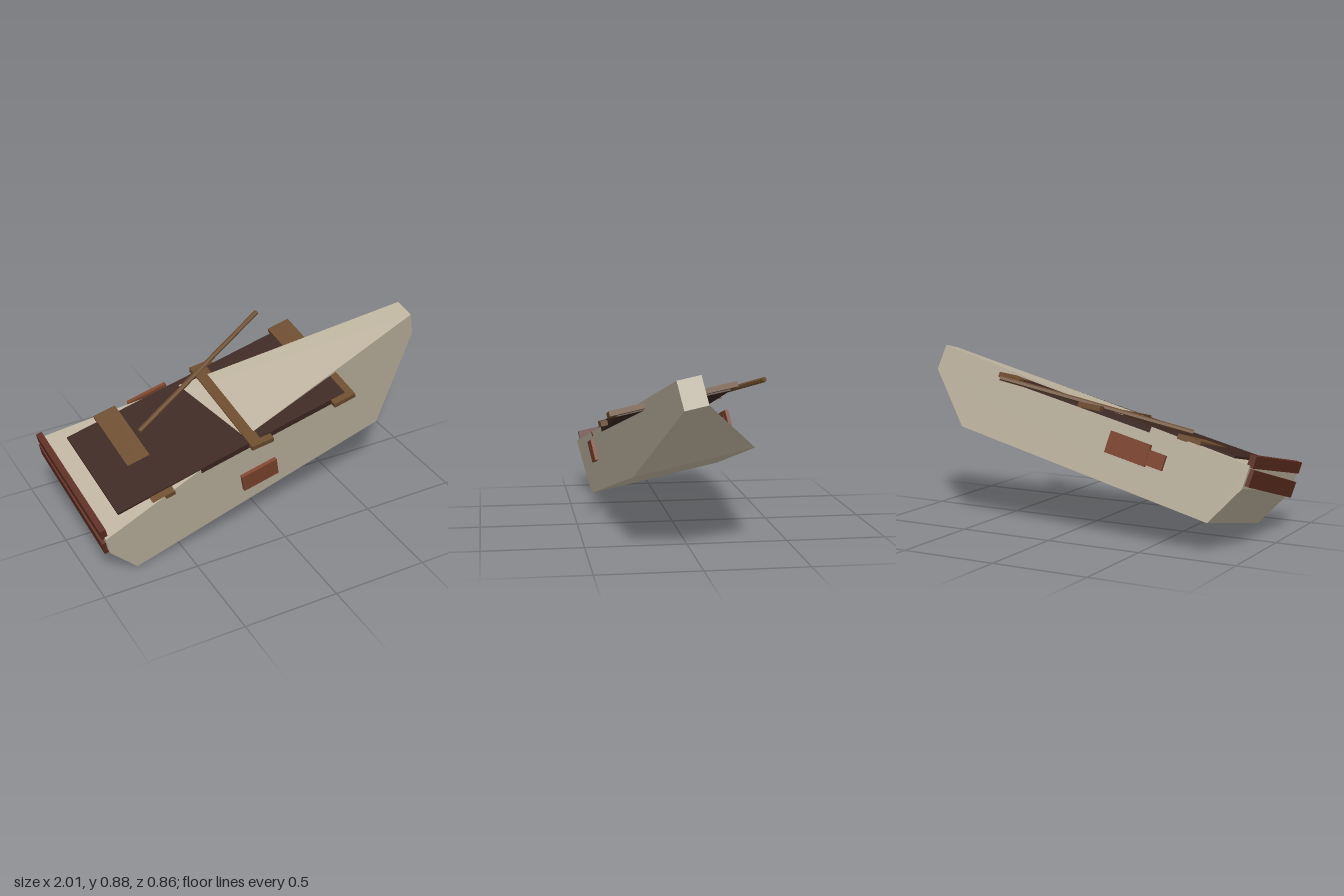
import * as THREE from 'three';

const material = (color, flatShading = true) => new THREE.MeshStandardMaterial({ color, flatShading });
const hullPaint = material(0xbbb19d, false);
const darkWood = material(0x3c261f);
const benchWood = material(0x6b4b2d);
const patchWood = material(0x7d432d);
const sternWood = material(0x5c2c20);

export function createModel() {
  const model = new THREE.Group();
  model.name = 'wreckedBoat';

  // The boat is built level, bow towards +x, then heeled and pitched
  const tilt = new THREE.Group();
  tilt.name = 'tiltedBoat';
  tilt.rotation.set(THREE.MathUtils.degToRad(12), 0, THREE.MathUtils.degToRad(14), 'ZYX');
  model.add(tilt);
  const boat = new THREE.Group();
  boat.name = 'boat';
  boat.position.z = -0.067;
  tilt.add(boat);

  const add = (name, geometry, mat) => {
    const mesh = new THREE.Mesh(geometry, mat);
    mesh.name = name;
    boat.add(mesh);
    return mesh;
  };
  // Box given by its lower and upper limits on each axis
  const plank = (name, mat, [x0, x1], [y0, y1], [z0, z1]) => {
    const mesh = add(name, new THREE.BoxGeometry(x1 - x0, y1 - y0, z1 - z0), mat);
    mesh.position.set((x0 + x1) / 2, (y0 + y1) / 2, (z0 + z1) / 2);
    return mesh;
  };

  // Hull: side profile (x, y) with the half width at each corner.
  // The extruded slab is tapered to those widths and keeps its flat side shading.
  const profile = [
    [-0.85, 0.579, 0.382], [-0.85, 0.465, 0.38], [-0.74, 0.256, 0.381],
    [0.741, 0.256, 0.3], [1.145, 0.475, 0.058], [1.138, 0.616, 0.058],
  ];
  const shape = new THREE.Shape(profile.map(([x, y]) => new THREE.Vector2(x, y)));
  const hull = new THREE.ExtrudeGeometry(shape, { depth: 1, bevelEnabled: false });
  const position = hull.attributes.position;
  for (let i = 0; i < position.count; i++) {
    const x = position.getX(i), y = position.getY(i);
    const corner = profile.find((p) => Math.abs(p[0] - x) + Math.abs(p[1] - y) < 1e-4);
    position.setZ(i, position.getZ(i) > 0.5 ? corner[2] : -corner[2]);
  }
  add('hull', hull, hullPaint);

  // Dark interior panel, sinking into the rising foredeck
  const panel = plank('interiorPanel', darkWood, [-0.735, 0.57], [0.56, 0.594], [-0.289, 0.288]);
  panel.rotation.x = -0.004;

  // Three cross benches: centre x, top height, sideways slant, forward slant
  const benches = [[-0.5, 0.596, 0.03, 0], [0.063, 0.5955, 0, -0.12], [0.547, 0.594, 0, 0]];
  for (const [x, top, slantX, slantZ] of benches) {
    const bench = plank('bench', benchWood, [x - 0.062, x + 0.062], [top - 0.027, top], [-0.324, 0.324]);
    bench.rotation.set(slantX, 0, slantZ);
  }

  // Planks across the stern, the lower one hanging askew
  plank('sternRail', sternWood, [-0.864, -0.832], [0.57, 0.63], [-0.368, 0.365]);
  const lower = plank('sternPlank', sternWood, [-0.87, -0.842], [0.46, 0.545], [-0.36, 0.355]);
  lower.rotation.x = 0.055;

  // Repair patches on both sides
  plank('leftPatch', patchWood, [-0.108, 0.092], [0.402, 0.512], [0.374, 0.393]);
  plank('rightPatch', patchWood, [-0.35, -0.125], [0.402, 0.512], [-0.394, -0.376]);
  plank('rightPatchEnd', patchWood, [-0.44, -0.2], [0.412, 0.488], [-0.391, -0.374]);

  // Oar lying over the side
  const start = new THREE.Vector3(-0.417, 0.618, -0.086);
  const end = new THREE.Vector3(0.505, 0.578, -0.482);
  const along = end.clone().sub(start);
  const oar = add('oar', new THREE.CylinderGeometry(0.013, 0.013, along.length(), 6), benchWood);
  oar.position.copy(start).add(end).multiplyScalar(0.5);
  oar.quaternion.setFromUnitVectors(new THREE.Vector3(0, 1, 0), along.normalize());

  return model;
}
